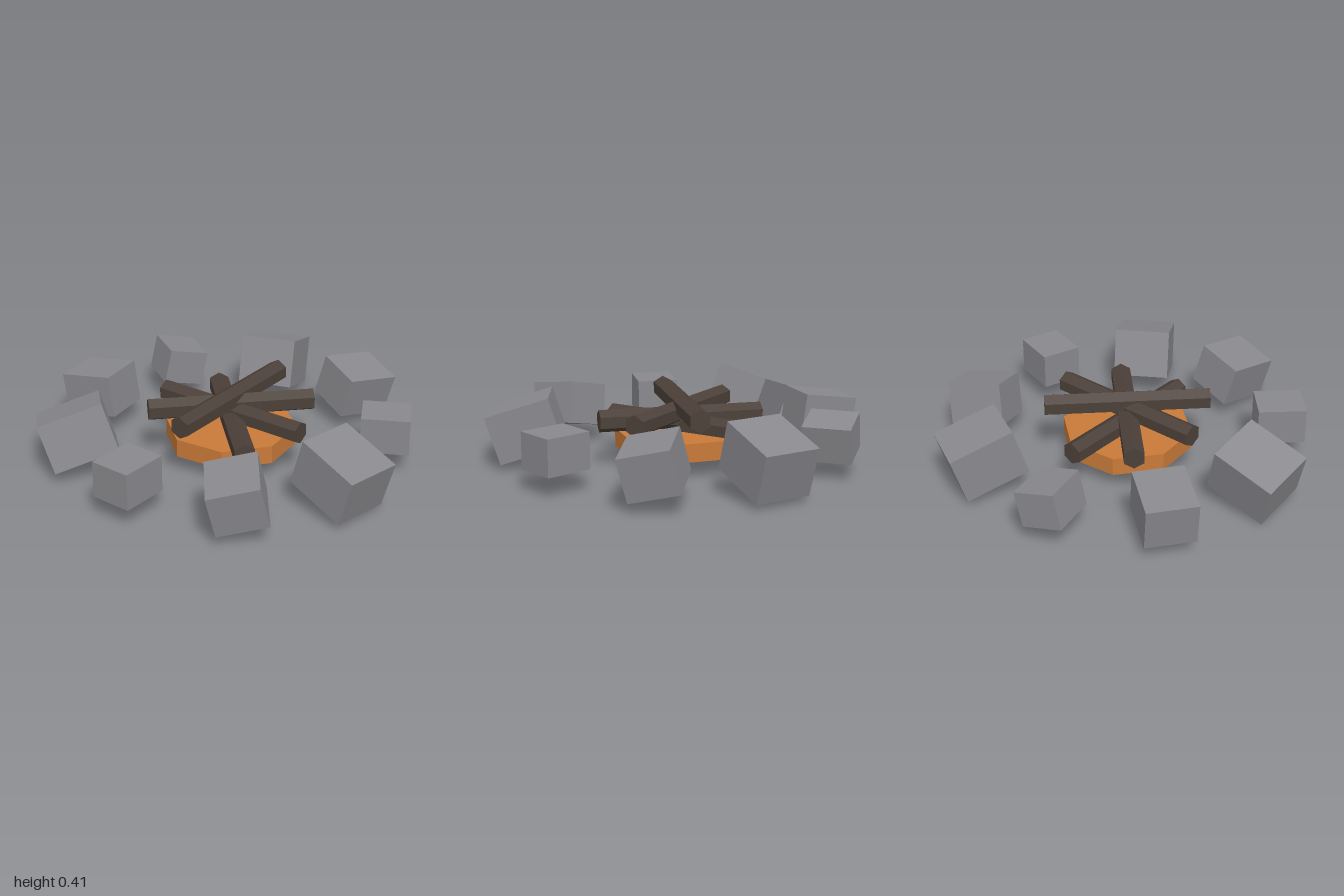
import * as THREE from 'three';

const flat = (name, color) => {
  const m = new THREE.MeshStandardMaterial({ color, flatShading: true });
  m.name = name;
  return m;
};

export function createModel() {
  const stone = flat('stone grey', 0x89888d);
  const ember = flat('ember orange', 0xc87a38);
  const wood = flat('charred wood', 0x4c4039);

  const model = new THREE.Group();
  model.name = 'campfire';
  const pit = new THREE.Group();
  pit.name = 'firePit';
  pit.position.set(0.035, 0, 0.015);
  model.add(pit);

  const add = (name, geometry, material) => {
    const mesh = new THREE.Mesh(geometry, material);
    mesh.name = name;
    pit.add(mesh);
    return mesh;
  };

  // Ember bed: a low octagonal disc
  add('emberBed', new THREE.CylinderGeometry(0.345, 0.345, 0.096, 8), ember).position.y = 0.138;

  // Four hexagonal logs stacked crosswise, ridge upward
  const logGeometry = new THREE.CylinderGeometry(0.059, 0.059, 0.865, 6);
  logGeometry.rotateY(Math.PI / 2).rotateZ(Math.PI / 2);
  for (let i = 0; i < 4; i++) {
    const log = add('log' + (i + 1), logGeometry, wood);
    log.position.y = 0.214 + i * 0.037;
    log.rotation.y = THREE.MathUtils.degToRad(i * 45 - 73);
  }

  // Ring of nine tilted stones in three repeating sizes
  const sizes = [1, 1.37, 1.185];
  const leans = [0, -0.3, -0.14];
  const stoneGeometry = new THREE.BoxGeometry(0.25, 0.19, 0.22);
  for (let i = 0; i < 9; i++) {
    const angle = (i * Math.PI * 2) / 9;
    const roll = i > 0 && i % 2 === 0 ? 0.22 : 0;
    const rock = add('stone' + (i + 1), stoneGeometry, stone);
    rock.position.set(Math.cos(angle) * 0.803, 0.21, Math.sin(angle) * 0.803);
    rock.rotation.set(roll, -angle, leans[i % 3], 'YZX');
    rock.scale.setScalar(sizes[i % 3]);
  }

  return model;
}
